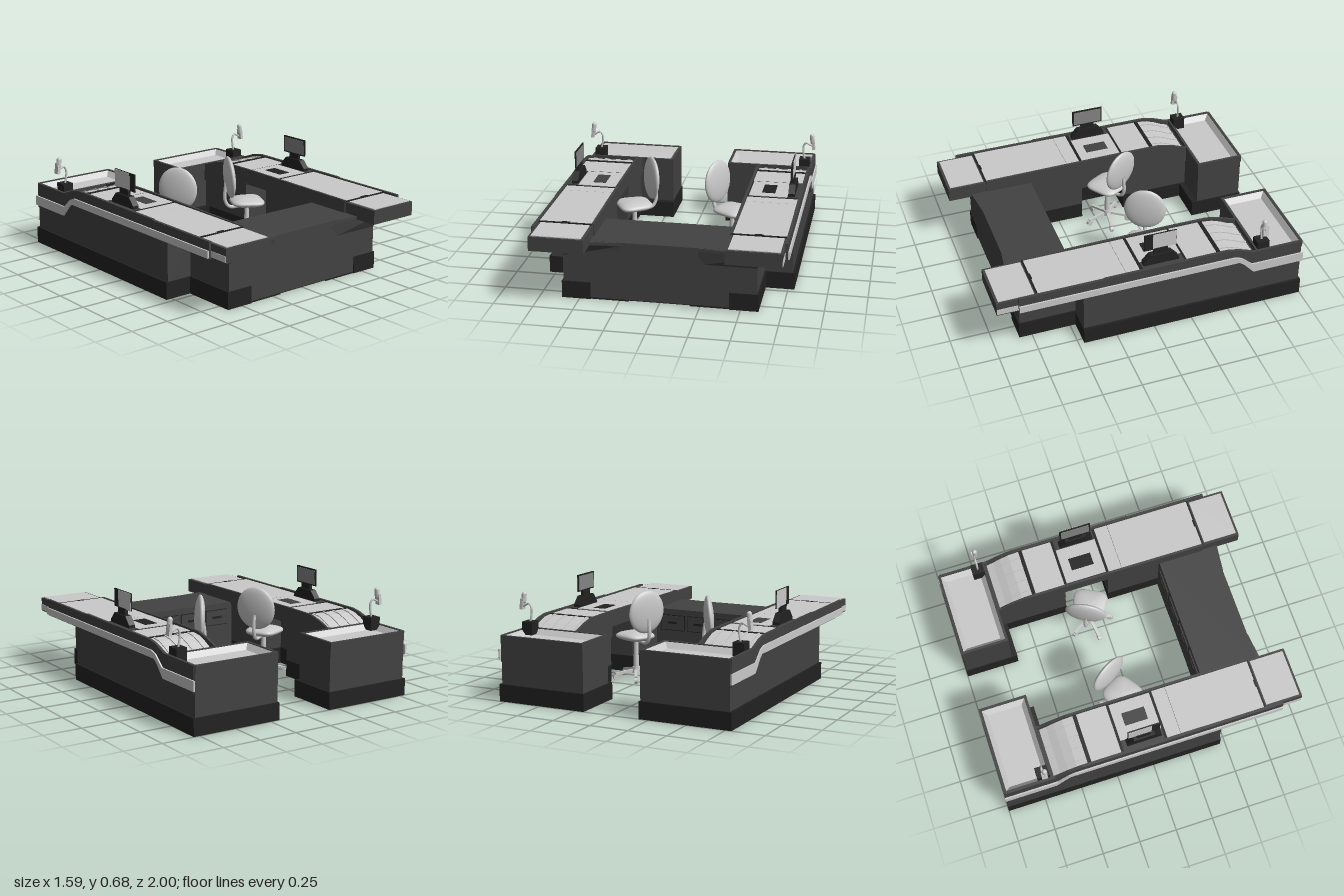
import * as THREE from 'three';

const mat = (name, color, side = THREE.FrontSide) => {
  const m = new THREE.MeshStandardMaterial({ color, side });
  m.name = name;
  return m;
};

export function createModel() {
  const root = new THREE.Group();
  root.name = 'checkoutStation';
  const dark = mat('charcoal', 0x424242);
  const black = mat('black', 0x222222);
  const light = mat('lightGrey', 0xcacaca, THREE.DoubleSide);
  const screenGrey = mat('screenGrey', 0x858585);

  const add = (parent, name, geo, m) => {
    const mesh = new THREE.Mesh(geo, m);
    mesh.name = name;
    parent.add(mesh);
    return mesh;
  };
  // Box given by its limits on each axis
  const box = (parent, name, m, x0, x1, y0, y1, z0, z1) => {
    const g = new THREE.BoxGeometry(Math.abs(x1 - x0), y1 - y0, z1 - z0);
    g.translate((x0 + x1) / 2, (y0 + y1) / 2, (z0 + z1) / 2);
    return add(parent, name, g, m);
  };
  // Side profile of [z, y] points, extruded along x
  const prism = (parent, name, m, pts, x0, x1) => {
    const shape = new THREE.Shape(pts.map(([z, y]) => new THREE.Vector2(-z, y)));
    const g = new THREE.ExtrudeGeometry(shape, { depth: Math.abs(x1 - x0), bevelEnabled: false });
    g.rotateY(Math.PI / 2).translate(Math.min(x0, x1), 0, 0);
    return add(parent, name, g, m);
  };

  // Desk joining the two counters
  const desk = new THREE.Group();
  desk.name = 'frontDesk';
  root.add(desk);
  box(desk, 'deskBody', dark, -0.43, 0.43, 0.01, 0.385, 0.44, 0.825);
  box(desk, 'deskUnderside', black, -0.43, 0.43, 0.006, 0.01, 0.44, 0.825);
  for (let i = 0; i < 4; i++) {
    const x = -0.3 + i * 0.2;
    box(desk, 'drawerGap', black, x - 0.092, x + 0.092, 0.235, 0.345, 0.436, 0.441);
    box(desk, 'drawerFront', dark, x - 0.086, x + 0.086, 0.241, 0.339, 0.43, 0.437);
    box(desk, 'drawerHandle', black, x - 0.035, x + 0.035, 0.285, 0.3, 0.422, 0.431);
  }

  // Shallow basin with sloping walls
  const basin = (parent, x0, x1, z0, z1, yTop, yFloor, inset) => {
    const ring = (d, y) => [[x0 + d, y, z0 + d], [x0 + d, y, z1 - d], [x1 - d, y, z1 - d], [x1 - d, y, z0 + d]];
    const outer = ring(0, yTop), inner = ring(inset, yFloor), pos = [];
    const quad = (a, b, c, d) => pos.push(...a, ...b, ...c, ...a, ...c, ...d);
    for (let i = 0; i < 4; i++) {
      const j = (i + 1) % 4;
      quad(outer[i], outer[j], inner[j], inner[i]);
    }
    quad(...inner);
    const g = new THREE.BufferGeometry();
    g.setAttribute('position', new THREE.Float32BufferAttribute(pos, 3));
    g.computeVertexNormals();
    add(parent, 'basinLining', g, light);
  };

  const buildCounter = (s) => {
    const c = new THREE.Group();
    c.name = s > 0 ? 'leftCounter' : 'rightCounter';
    root.add(c);
    const b = (name, m, x0, x1, ...r) => box(c, name, m, s * x0, s * x1, ...r);
    const p = (name, m, pts, x0, x1) => prism(c, name, m, pts, s * x0, s * x1);

    // Cabinet with a knee space, and its plinth
    b('outerCabinet', dark, 0.6, 0.775, 0.11, 0.37, -0.68, 0.46);
    b('outerPlinth', black, 0.6, 0.79, 0, 0.11, -0.68, 0.465);
    b('frontCabinet', dark, 0.43, 0.6, 0.11, 0.37, 0.08, 0.825);
    b('frontPlinth', black, 0.43, 0.61, 0, 0.11, 0.08, 0.832);
    b('rearCabinet', dark, 0.43, 0.6, 0.11, 0.37, -0.68, -0.22);
    b('rearPlinth', black, 0.43, 0.6, 0, 0.11, -0.68, -0.22);
    b('deskFoot', black, 0.19, 0.43, 0, 0.006, 0.44, 0.825);

    // Flared bracket below the front overhang
    const flare = p('flare', dark, [[0.82, 0.27], [0.865, 0.365], [0.865, 0.384], [0.82, 0.384]], 0.24, 0.6);
    const fp = flare.geometry.attributes.position;
    for (let i = 0; i < fp.count; i++) {
      if (Math.abs(fp.getX(i)) < 0.3) fp.setZ(i, Math.min(fp.getZ(i), 0.828));
      else if (fp.getZ(i) > 0.85) fp.setZ(i, 0.868);
    }
    flare.geometry.computeVertexNormals();

    // Counter top slab dropping towards the bagging area
    const slope = [[-0.44, 0.455], [-0.51, 0.447], [-0.57, 0.425], [-0.62, 0.4], [-0.665, 0.385]];
    p('counterSlab', dark, [[1, 0.365], [1, 0.455], ...slope, [-0.68, 0.385], [-0.68, 0.34], [-0.56, 0.365]], 0.425, 0.765);
    p('innerRail', dark, [[0.745, 0.385], [0.745, 0.465], [-0.2, 0.475], [-0.48, 0.473], [-0.58, 0.45],
      [-0.66, 0.42], [-0.68, 0.42], [-0.68, 0.3], [-0.22, 0.3], [-0.22, 0.385]], 0.418, 0.434);
    p('outerRail', dark, [[0.865, 0.36], [0.865, 0.468], [0.33, 0.468], [0.32, 0.473], [-0.48, 0.473], [-0.56, 0.458],
      [-0.66, 0.42], [-0.985, 0.42], [-0.985, 0.25], [-0.65, 0.25], [-0.55, 0.36]], 0.763, 0.782);
    p('bumperStripe', light, [[0.865, 0.367], [0.865, 0.413], [-0.53, 0.413], [-0.575, 0.397], [-0.65, 0.332], [-1, 0.332],
      [-1, 0.268], [-0.66, 0.268], [-0.59, 0.345], [-0.56, 0.367]], 0.782, 0.792);
    b('trayStripe', light, 0.765, 0.768, 0.372, 0.41, 0.865, 0.998);

    // Worktop surfaces
    b('traySurface', light, 0.442, 0.75, 0.455, 0.46, 0.76, 0.985);
    b('trayDivider', black, 0.43, 0.763, 0.455, 0.463, 0.741, 0.751);
    b('trayCatch', black, 0.57, 0.62, 0.458, 0.466, 0.735, 0.745);
    b('beltFront', light, 0.436, 0.762, 0.455, 0.462, 0.181, 0.741);
    b('beltRear', light, 0.436, 0.762, 0.455, 0.462, 0.09, 0.179);
    b('scannerFrame', black, 0.43, 0.763, 0.455, 0.462, -0.215, 0.088);
    b('scannerPlate', light, 0.442, 0.69, 0.46, 0.466, -0.2, 0.072);
    b('scannerSide', dark, 0.69, 0.762, 0.46, 0.466, -0.2, 0.072);
    b('scannerWindow', s > 0 ? black : dark, 0.52, 0.605, 0.465, 0.468, -0.14, 0.012);
    b('rearWorktop', light, 0.436, 0.762, 0.455, 0.462, -0.415, -0.217);
    b('chuteDivider', black, 0.43, 0.763, 0.455, 0.465, -0.44, -0.417);
    const chuteTop = slope.map(([z, y]) => [z, y + 0.006]);
    p('chute', light, [...slope, ...chuteTop.reverse()], 0.438, 0.762);
    for (let i = 0; i < 4; i++) {
      const x = 0.48 + i * 0.08;
      p('chuteRib', light, [...slope.map(([z, y]) => [z, y + 0.004]), ...slope.map(([z, y]) => [z, y + 0.012]).reverse()], x - 0.006, x + 0.006);
    }

    // Bagging bin
    b('binBody', dark, 0.195, 0.775, 0.11, 0.375, -0.99, -0.68);
    b('binPlinth', black, 0.188, 0.79, 0, 0.11, -1, -0.642);
    b('binInnerRim', dark, 0.195, 0.212, 0.375, 0.42, -0.99, -0.68);
    b('binBackRim', dark, 0.195, 0.775, 0.375, 0.42, -0.995, -0.978);
    b('binFrontRim', dark, 0.195, 0.765, 0.375, 0.42, -0.695, -0.678);
    basin(c, ...[s * 0.212, s * 0.763].sort((m, n) => m - n), -0.978, -0.695, 0.415, 0.38, 0.028);

    // Display on a tapered stand
    p('displayStand', black, [[0.06, 0.465], [0.06, 0.485], [0.015, 0.535], [-0.125, 0.535], [-0.17, 0.485], [-0.17, 0.465]], 0.695, 0.737);
    b('displayNeck', black, 0.705, 0.725, 0.53, 0.575, -0.1, -0.01);
    b('displayCase', black, 0.708, 0.716, 0.568, 0.682, -0.16, 0.05);
    b('displayScreen', screenGrey, 0.705, 0.708, 0.577, 0.673, -0.15, 0.04);
    b('displayBack', light, 0.716, 0.719, 0.57, 0.68, -0.158, -0.005);

    // Card reader on a bent arm
    b('readerBox', black, 0.69, 0.763, 0.385, 0.468, -0.77, -0.69);
    const arm = new THREE.CatmullRomCurve3([[0.725, 0.465], [0.716, 0.51], [0.716, 0.555], [0.733, 0.58], [0.755, 0.572], [0.775, 0.56]]
      .map(([x, y]) => new THREE.Vector3(s * x, y, -0.73)));
    add(c, 'readerArm', new THREE.TubeGeometry(arm, 20, 0.007, 8), light);
    const head = new THREE.BoxGeometry(0.02, 0.07, 0.038);
    const reader = add(c, 'readerHead', head, light);
    reader.position.set(s * 0.783, 0.575, -0.725);
    reader.rotation.z = s * 0.12;
    const cap = add(c, 'readerCap', new THREE.CapsuleGeometry(0.016, 0.045, 6, 12), light);
    cap.position.set(s * 0.776, 0.613, -0.72);
    cap.rotation.z = s * 0.12;
  };
  [1, -1].forEach(buildCounter);

  // Swivel chair, local +z is its front
  const buildChair = (x, z, fx, fz) => {
    const ch = new THREE.Group();
    ch.name = 'swivelChair';
    ch.position.set(x, 0, z);
    ch.rotation.y = Math.atan2(fx, fz);
    root.add(ch);
    // Cushion: ellipsoid pushed towards a rounded square
    const seat = new THREE.SphereGeometry(1, 32, 20);
    const sp = seat.attributes.position;
    for (let i = 0; i < sp.count; i++) {
      const px = sp.getX(i), pz = sp.getZ(i), r = Math.hypot(px, pz);
      const k = r > 1e-4 ? r / Math.pow((px / r) ** 4 + (pz / r) ** 4, 0.25) / r : 1;
      const w = 0.9 + 0.1 * pz;
      sp.setXYZ(i, px * k * 0.122 * w, sp.getY(i) * 0.035, pz * k * 0.112);
    }
    seat.computeVertexNormals();
    add(ch, 'seat', seat, light).position.y = 0.295;
    const back = add(ch, 'backrest', new THREE.SphereGeometry(1, 32, 24), light);
    back.scale.set(0.136, 0.142, 0.032);
    back.position.set(0, 0.47, -0.12);
    back.rotation.x = -0.06;
    const bar = new THREE.CatmullRomCurve3([[0, 0.265, -0.03], [0, 0.265, -0.12], [0, 0.31, -0.15], [0, 0.43, -0.145]].map((v) => new THREE.Vector3(...v)));
    add(ch, 'backSupport', new THREE.TubeGeometry(bar, 16, 0.012, 8), light);
    add(ch, 'column', new THREE.CylinderGeometry(0.014, 0.02, 0.22, 16), light).position.y = 0.16;
    add(ch, 'hub', new THREE.CylinderGeometry(0.026, 0.03, 0.04, 16), light).position.y = 0.065;
    for (let i = 0; i < 5; i++) {
      const leg = new THREE.Group();
      leg.name = 'leg';
      leg.rotation.y = (i * Math.PI * 2) / 5;
      ch.add(leg);
      const beam = add(leg, 'legBeam', new THREE.BoxGeometry(0.02, 0.016, 0.14), light);
      beam.position.set(0, 0.053, 0.075);
      beam.rotation.x = 0.15;
      const wheel = add(leg, 'caster', new THREE.CylinderGeometry(0.019, 0.019, 0.022, 14), light);
      wheel.rotation.z = Math.PI / 2;
      wheel.position.set(0, 0.02, 0.14);
    }
  };
  buildChair(0.312, -0.09, 0.89, 0.45);
  buildChair(-0.345, -0.075, -0.87, 0.49);
  return root;
}
